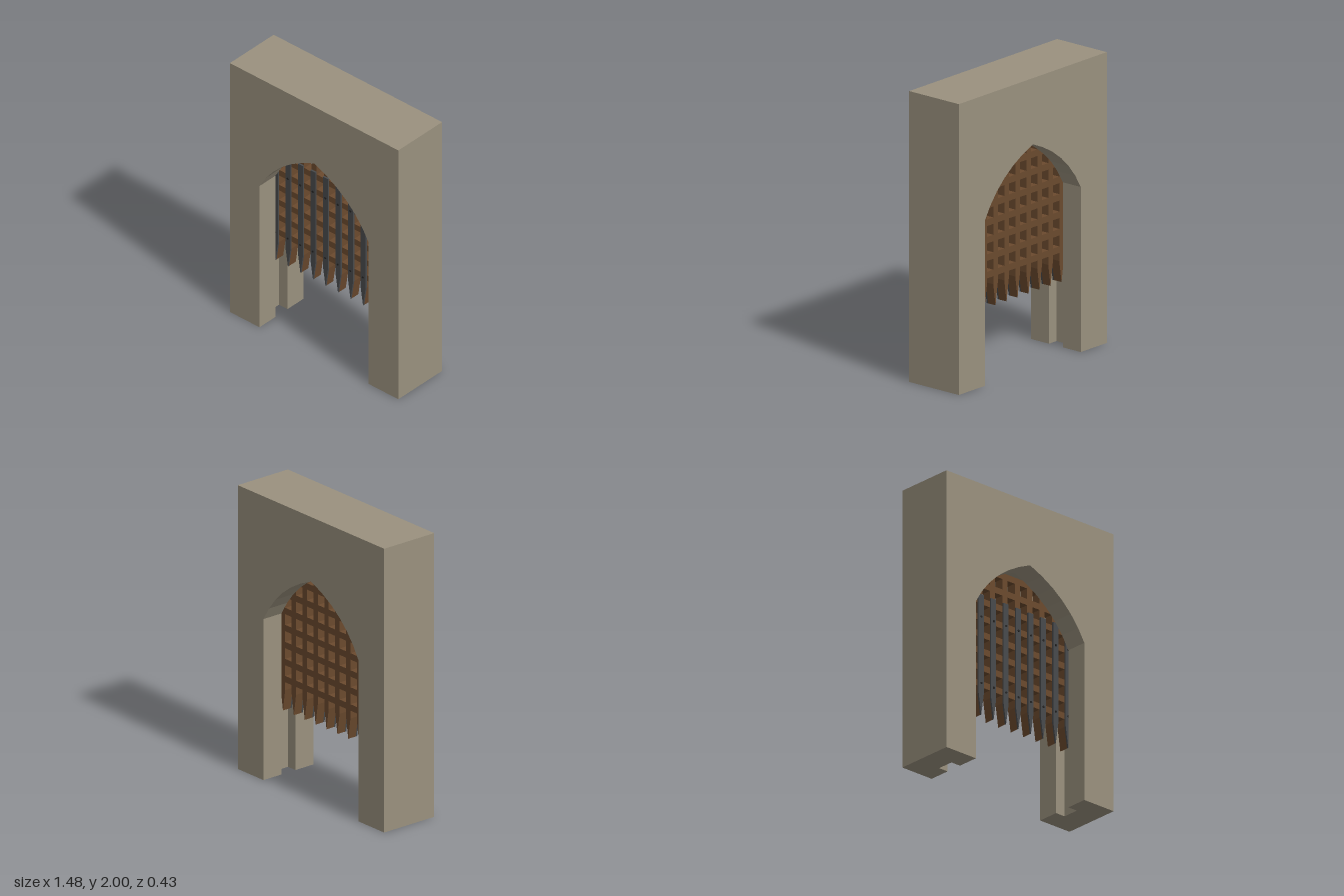
import * as THREE from 'three';

const stone = new THREE.MeshStandardMaterial({ color: 0x9a917e });
stone.name = 'stone';
const wood = new THREE.MeshStandardMaterial({ color: 0x6b4a2e });
wood.name = 'wood';
const iron = new THREE.MeshStandardMaterial({ color: 0x484a4c });
iron.name = 'iron';
const nailIron = new THREE.MeshStandardMaterial({ color: 0x242424 });
nailIron.name = 'dark nail';

const PITCH = 0.11, BAR = 0.0225; // bar spacing and half width
const ROW = 0.12, ROW0 = 0.668, ROWS = 8;
const barXs = Array.from({ length: 10 }, (_, i) => (i - 4.5) * PITCH);

function slab(name, shape, z0, z1, material) {
  const geometry = new THREE.ExtrudeGeometry(shape, { depth: z1 - z0, bevelEnabled: false, curveSegments: 6 });
  geometry.translate(0, 0, z0);
  const mesh = new THREE.Mesh(geometry, material);
  mesh.name = name;
  return mesh;
}

// Wall outline, walked around the doorway
function wallShape(addOpening) {
  const s = new THREE.Shape();
  s.moveTo(0.74, 0);
  s.lineTo(0.74, 2);
  s.lineTo(-0.74, 2);
  s.lineTo(-0.74, 0);
  addOpening(s);
  return s;
}

function pointedArch(s) {
  s.lineTo(-0.48, 0);
  s.lineTo(-0.48, 1.135);
  s.quadraticCurveTo(-0.33, 1.42, 0, 1.545);
  s.quadraticCurveTo(0.33, 1.42, 0.48, 1.135);
  s.lineTo(0.48, 0);
}

function gateSlot(s) {
  s.lineTo(-0.555, 0);
  s.lineTo(-0.555, 1.56);
  s.lineTo(0.555, 1.56);
  s.lineTo(0.555, 0);
}

// Wooden grid with pointed lower ends, in one piece
function latticeShape() {
  const top = ROW0 + (ROWS - 1) * ROW + BAR, low = ROW0 - BAR;
  const end = barXs[9] + BAR;
  const s = new THREE.Shape();
  s.moveTo(end, top);
  s.lineTo(-end, top);
  for (const x of barXs) {
    s.lineTo(x - BAR, low);
    s.lineTo(x - BAR, 0.59);
    s.lineTo(x, 0.44);
    s.lineTo(x + BAR, 0.59);
    s.lineTo(x + BAR, low);
  }
  for (let i = 0; i < 9; i++) {
    for (let j = 0; j < ROWS - 1; j++) {
      const x0 = barXs[i] + BAR, x1 = barXs[i + 1] - BAR;
      const y0 = ROW0 + j * ROW + BAR, y1 = ROW0 + (j + 1) * ROW - BAR;
      s.holes.push(new THREE.Path([
        new THREE.Vector2(x0, y0), new THREE.Vector2(x0, y1),
        new THREE.Vector2(x1, y1), new THREE.Vector2(x1, y0),
      ]));
    }
  }
  return s;
}

function strapShape(x) {
  return new THREE.Shape([
    new THREE.Vector2(x - BAR, 1.31), new THREE.Vector2(x - BAR, 0.59),
    new THREE.Vector2(x, 0.44), new THREE.Vector2(x + BAR, 0.59),
    new THREE.Vector2(x + BAR, 1.31),
  ]);
}

export function createModel() {
  const model = new THREE.Group();
  model.name = 'castleGate';

  // Stone wall: two arched faces around a slotted core
  const wall = new THREE.Group();
  wall.name = 'wall';
  wall.add(
    slab('wallFront', wallShape(pointedArch), 0.06, 0.215, stone),
    slab('wallCore', wallShape(gateSlot), -0.06, 0.06, stone),
    slab('wallBack', wallShape(pointedArch), -0.215, -0.06, stone),
  );

  // Portcullis: wooden lattice, iron straps and nails
  const gate = new THREE.Group();
  gate.name = 'portcullis';
  gate.add(slab('lattice', latticeShape(), -0.035, 0.03, wood));
  const nailGeometry = new THREE.CylinderGeometry(0.008, 0.008, 0.006, 8).rotateX(Math.PI / 2);
  for (const x of barXs) {
    gate.add(slab('ironStrap', strapShape(x), 0.03, 0.042, iron));
    for (const y of [ROW0, ROW0 + 4 * ROW]) {
      const nail = new THREE.Mesh(nailGeometry, nailIron);
      nail.name = 'nail';
      nail.position.set(x, y, 0.043);
      gate.add(nail);
    }
  }

  model.add(wall, gate);
  return model;
}
